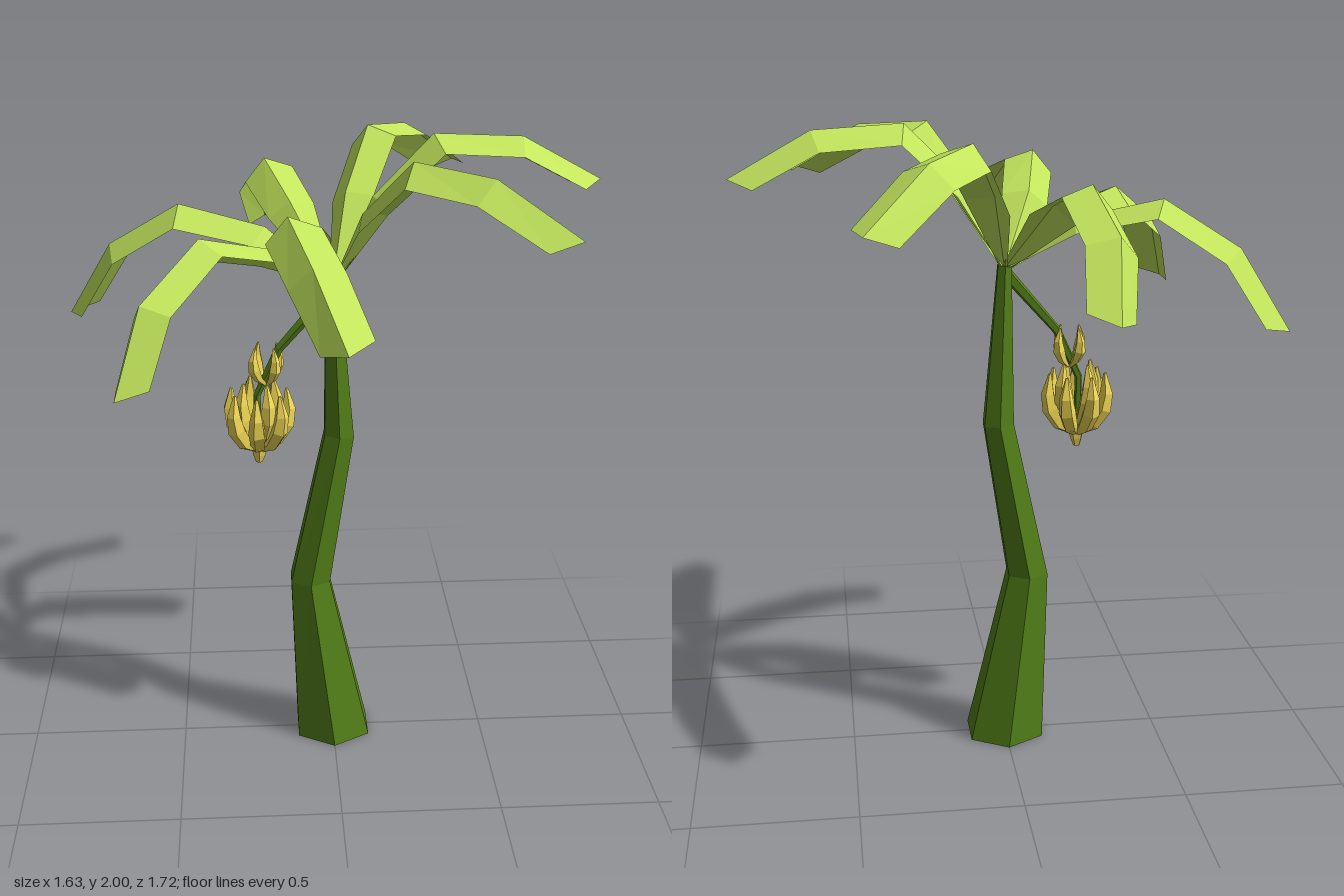
import * as THREE from 'three';

const V = (x, y, z) => new THREE.Vector3(x, y, z);

// The crown of leaves leans with the trunk
const CROWN_UP = V(-0.28, 0.96, -0.04);

function material(color, side = THREE.FrontSide) {
  return new THREE.MeshStandardMaterial({ color, flatShading: true, side });
}

function meshFrom(name, positions, index, mat) {
  const g = new THREE.BufferGeometry();
  g.setAttribute('position', new THREE.Float32BufferAttribute(positions, 3));
  g.setIndex(index);
  g.computeVertexNormals();
  const mesh = new THREE.Mesh(g, mat);
  mesh.name = name;
  return mesh;
}

// Direction of a path at point i
function tangent(path, i) {
  const a = path[Math.max(i - 1, 0)], b = path[Math.min(i + 1, path.length - 1)];
  return b.clone().sub(a).normalize();
}

// Faceted tube through points, one radius per point, capped at both ends
function limb(name, points, radii, sides, mat, flatEnds = false) {
  const path = points.map((p) => V(...p));
  const pos = [], index = [], last = path.length - 1;
  path.forEach((p, i) => {
    const t = flatEnds && (i === 0 || i === last) ? V(0, 1, 0) : tangent(path, i);
    const u = V(0, 0, 1).addScaledVector(t, -t.z).normalize();
    const v = t.clone().cross(u);
    for (let j = 0; j < sides; j++) {
      const a = (j / sides) * Math.PI * 2;
      const q = p.clone().addScaledVector(u, radii[i] * Math.cos(a)).addScaledVector(v, radii[i] * Math.sin(a));
      pos.push(q.x, q.y, q.z);
    }
  });
  for (let i = 0; i < last; i++) {
    for (let j = 0; j < sides; j++) {
      const k = (j + 1) % sides, a = i * sides, b = a + sides;
      index.push(a + j, a + k, b + k, a + j, b + k, b + j);
    }
  }
  for (let j = 1; j < sides - 1; j++) {
    index.push(0, j + 1, j, last * sides, last * sides + j, last * sides + j + 1);
  }
  return meshFrom(name, pos, index, mat);
}

// Leaf with a raised midrib and two drooping halves
function leaf(name, spine, mat) {
  const path = [V(0, 1.56, -0.01), ...spine.map((p) => V(...p))];
  const width = [0.012, 0.075, 0.08, 0.08, 0.073];
  const drop = [0.005, 0.045, 0.055, 0.055, 0.05];
  const pos = [], index = [], last = path.length - 1;
  const side = path[last].clone().sub(path[0]).setY(0).cross(CROWN_UP).normalize();
  path.forEach((p, i) => {
    const up = side.clone().cross(tangent(path, i)).normalize();
    const edge = p.clone().addScaledVector(up, -drop[i]);
    // The midrib runs on to a point beyond the edges
    if (i === last) edge.addScaledVector(up.clone().cross(side), -0.05);
    const l = edge.clone().addScaledVector(side, -width[i]);
    const r = edge.clone().addScaledVector(side, width[i]);
    pos.push(l.x, l.y, l.z, p.x, p.y, p.z, r.x, r.y, r.z);
  });
  for (let i = 0; i < last; i++) {
    for (let j = 0; j < 2; j++) {
      const a = i * 3 + j, b = a + 3;
      index.push(a, a + 1, b + 1, a, b + 1, b);
    }
  }
  return meshFrom(name, pos, index, mat);
}

// Ring of upturned fruits around a vertical axis
function fruitRing(name, count, center, profile, radii, phase, mat) {
  const ring = new THREE.Group();
  ring.name = name;
  ring.position.set(...center);
  for (let i = 0; i < count; i++) {
    const fruit = limb('fruit', profile.map(([x, y]) => [x, y, 0]), radii, 5, mat);
    fruit.rotation.y = phase + (i / count) * Math.PI * 2;
    ring.add(fruit);
  }
  return ring;
}

export function createModel() {
  const model = new THREE.Group();
  model.name = 'bananaPlant';
  const green = material(0x537f18);
  const leafGreen = material(0xc3e65c, THREE.DoubleSide);
  const yellow = material(0xf5dc58);

  // Bent six-sided trunk
  model.add(limb('trunk',
    [[0, 0, -0.003], [-0.073, 0.565, -0.007], [0.02, 1.07, -0.013], [0, 1.57, -0.01]],
    [0.135, 0.072, 0.053, 0.024], 6, green, true));

  // Seven arching leaves, each given by its midrib
  const leaves = new THREE.Group();
  leaves.name = 'leaves';
  const midribs = {
    leafLeft: [[0.12, 1.82, -0.03], [0.3, 2.0, -0.05], [0.57, 1.985, -0.07], [0.815, 1.85, -0.09]],
    leafBackLeft: [[0.05, 1.8, -0.18], [0.13, 1.97, -0.35], [0.265, 1.94, -0.54], [0.45, 1.78, -0.73]],
    leafBack: [[-0.12, 1.77, -0.18], [-0.195, 1.86, -0.4], [-0.22, 1.76, -0.68], [-0.19, 1.56, -0.86]],
    leafRight: [[-0.2, 1.72, -0.08], [-0.46, 1.78, -0.135], [-0.68, 1.64, -0.21], [-0.82, 1.4, -0.28]],
    leafFrontRight: [[-0.16, 1.7, 0.12], [-0.39, 1.77, 0.24], [-0.55, 1.64, 0.44], [-0.62, 1.415, 0.58]],
    leafFront: [[-0.1, 1.77, 0.17], [-0.145, 1.87, 0.4], [-0.09, 1.8, 0.66], [-0.01, 1.63, 0.86]],
    leafFrontLeft: [[0.08, 1.8, 0.1], [0.21, 1.98, 0.245], [0.42, 1.96, 0.385], [0.64, 1.82, 0.52]],
  };
  for (const [name, spine] of Object.entries(midribs)) leaves.add(leaf(name, spine, leafGreen));
  model.add(leaves);

  // Hanging stalk
  model.add(limb('fruitStalk',
    [[0, 1.55, 0], [-0.165, 1.36, 0], [-0.235, 1.21, 0], [-0.232, 1.04, 0]],
    [0.02, 0.014, 0.012, 0.012], 5, green));

  // Fruit bunches and the bud below them
  const fruitRadii = [0.01, 0.024, 0.028, 0.022, 0.005];
  const wide = [[0.01, 0.02], [0.053, 0.05], [0.084, 0.1], [0.094, 0.15], [0.088, 0.215]];
  const narrow = [[0.01, 0.03], [0.035, 0.07], [0.055, 0.12], [0.06, 0.17], [0.052, 0.235]];
  const small = [[0.006, 0], [0.03, 0.025], [0.045, 0.055], [0.048, 0.085], [0.04, 0.125]];
  model.add(fruitRing('outerFruits', 7, [-0.23, 1.01, 0], wide, fruitRadii, 0.15, yellow));
  model.add(fruitRing('innerFruits', 4, [-0.23, 1.02, 0], narrow, fruitRadii, 0.5, yellow));
  model.add(fruitRing('upperFruits', 4, [-0.205, 1.245, 0], small, [0.006, 0.014, 0.019, 0.014, 0.003], 0.6, yellow));
  model.add(limb('bud', [[-0.232, 0.985, 0], [-0.231, 1.01, 0], [-0.23, 1.06, 0]], [0.011, 0.02, 0.03], 5, yellow));

  return model;
}
